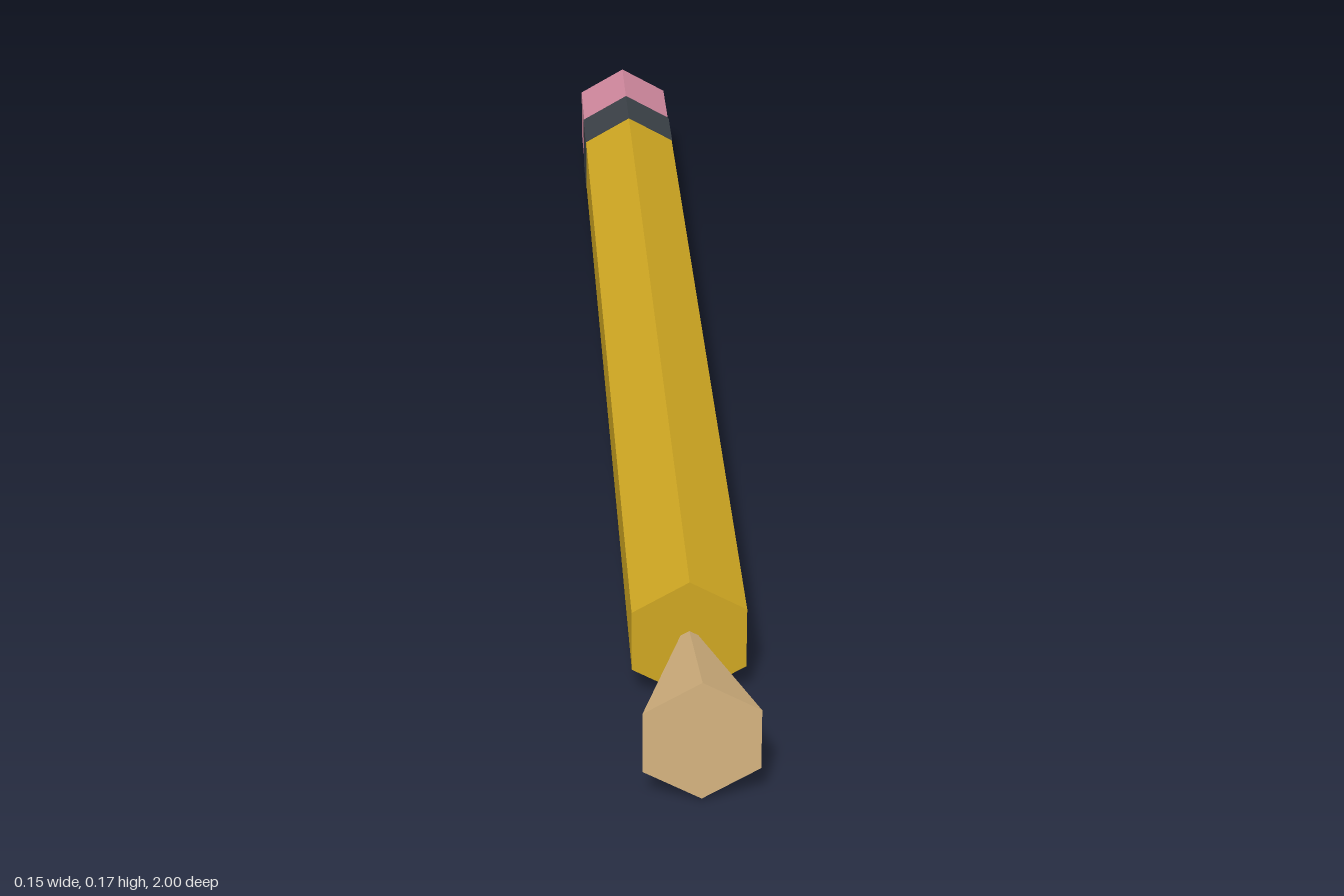
import * as THREE from 'three';

const CENTRE_Y = 0.0855;

const mat = (name, color) => {
  const m = new THREE.MeshStandardMaterial({ color, flatShading: true });
  m.name = name;
  return m;
};

// Six-sided section along z, corners pointing up and down
function hexSection(name, zBack, zFront, rBack, rFront, material) {
  const geo = new THREE.CylinderGeometry(rFront, rBack, zFront - zBack, 6);
  geo.rotateX(Math.PI / 2);
  const mesh = new THREE.Mesh(geo, material);
  mesh.name = name;
  mesh.position.set(0, CENTRE_Y, (zBack + zFront) / 2);
  return mesh;
}

export function createModel() {
  const yellow = mat('yellow paint', 0xcfa722);
  const wood = mat('bare wood', 0xd6b480);
  const dark = mat('dark metal', 0x3b4147);
  const pink = mat('pink rubber', 0xd0889e);

  const pencil = new THREE.Group();
  pencil.name = 'pencil';
  pencil.add(
    hexSection('eraser', -1, -0.87, 0.084, 0.084, pink),
    hexSection('ferrule', -0.87, -0.77, 0.0855, 0.0855, dark),
    hexSection('barrel', -0.77, 0.77, 0.0845, 0.0845, yellow),
    // The wooden end is narrow at the barrel and flares outwards
    hexSection('woodenEnd', 0.77, 1, 0.013, 0.083, wood),
  );
  return pencil;
}
